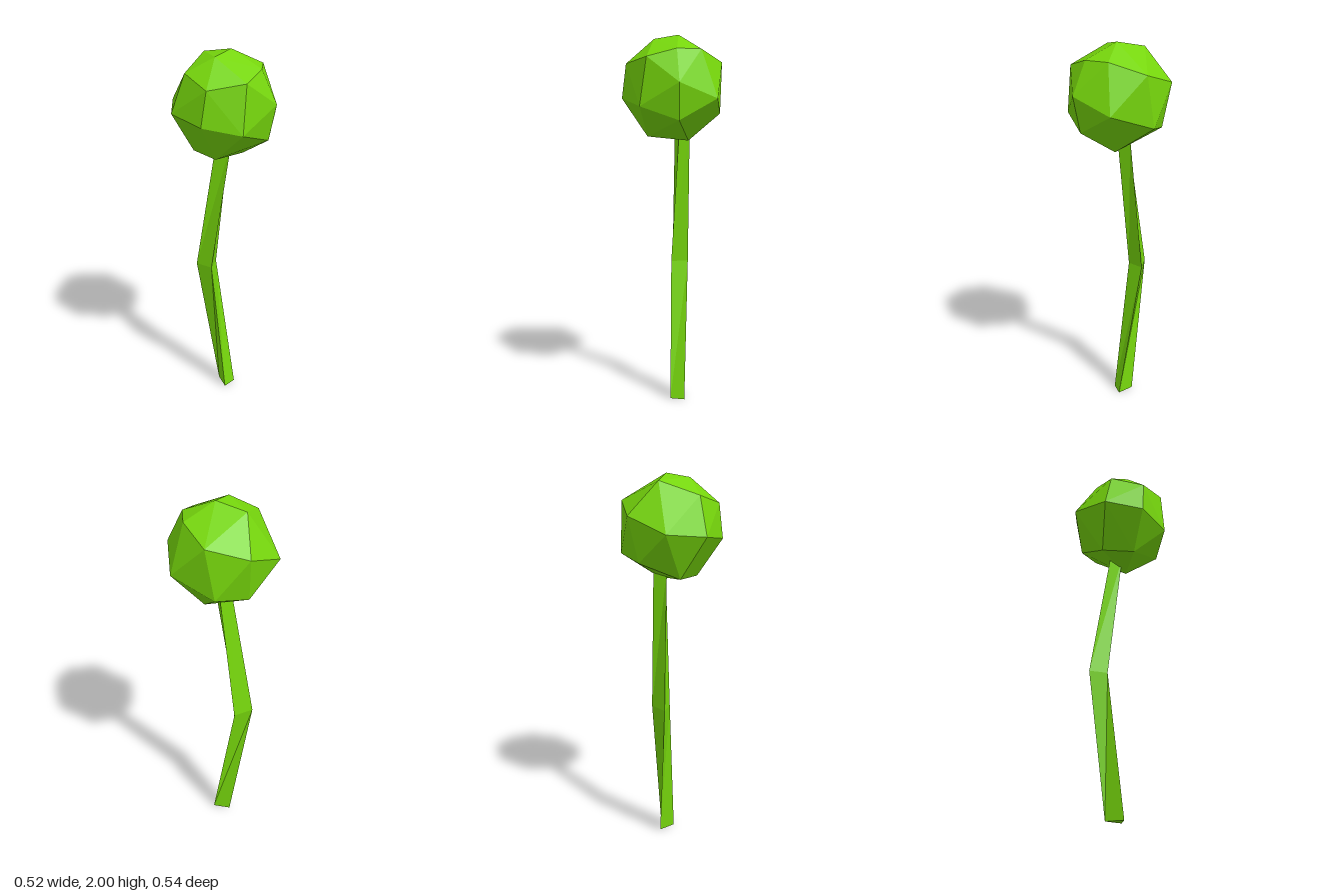
import * as THREE from 'three';
import { ConvexGeometry } from 'three/addons/geometries/ConvexGeometry.js';

const green = new THREE.MeshStandardMaterial({ color: 0x76d60c, flatShading: true });

// Joins triangular cross-sections (counterclockwise seen from above) into a closed tapered stalk
function loftTriangles(sections) {
  const positions = sections.flat(2);
  const index = [];
  for (let s = 0; s < sections.length - 1; s++) {
    for (let i = 0; i < 3; i++) {
      const a = s * 3 + i, b = s * 3 + (i + 1) % 3;
      index.push(a, b, b + 3, a, b + 3, a + 3);
    }
  }
  const top = (sections.length - 1) * 3;
  index.push(2, 1, 0, top, top + 1, top + 2);
  const geometry = new THREE.BufferGeometry();
  geometry.setAttribute('position', new THREE.Float32BufferAttribute(positions, 3));
  geometry.setIndex(index);
  const flat = geometry.toNonIndexed();
  flat.computeVertexNormals();
  return flat;
}

export function createModel() {
  const group = new THREE.Group();
  group.name = 'budPlant';

  // Stem: three-sided, bent backwards in the middle, ending inside the bud
  const stem = new THREE.Mesh(loftTriangles([
    [[-0.015, 0, 0.02], [0.065, 0, 0.02], [0.03, 0, -0.07]],
    [[-0.03, 0.77, -0.07], [0.055, 0.77, -0.115], [-0.045, 0.77, -0.17]],
    [[0.035, 1.52, 0.02], [0.08, 1.52, -0.035], [-0.005, 1.52, -0.05]],
  ]), green);
  stem.name = 'stem';
  group.add(stem);

  // Bud: irregular faceted ball, wrapped around its corner points from top to bottom
  const corners = [
    [0.03, 2.0, 0.02], [-0.1, 1.98, 0.03], [0, 1.97, -0.14], [-0.2, 1.9, -0.08],
    [0.17, 1.92, 0.11], [0.06, 1.92, 0.195], [-0.09, 1.88, 0.23], [-0.235, 1.85, 0.1],
    [0.248, 1.86, -0.065], [0.125, 1.8, -0.243], [0.09, 1.75, 0.27], [-0.1, 1.72, -0.272],
    [-0.257, 1.7, -0.122], [-0.262, 1.67, 0.088], [0.26, 1.67, 0.13], [-0.125, 1.63, 0.24],
    [0.232, 1.59, -0.11], [0.08, 1.56, 0.23], [0.08, 1.56, -0.21],
    [-0.11, 1.475, -0.115], [-0.13, 1.47, 0.06], [0.09, 1.45, 0.05],
  ];
  const bud = new THREE.Mesh(
    new ConvexGeometry(corners.map((p) => new THREE.Vector3(...p))), green);
  bud.name = 'bud';
  group.add(bud);

  return group;
}
